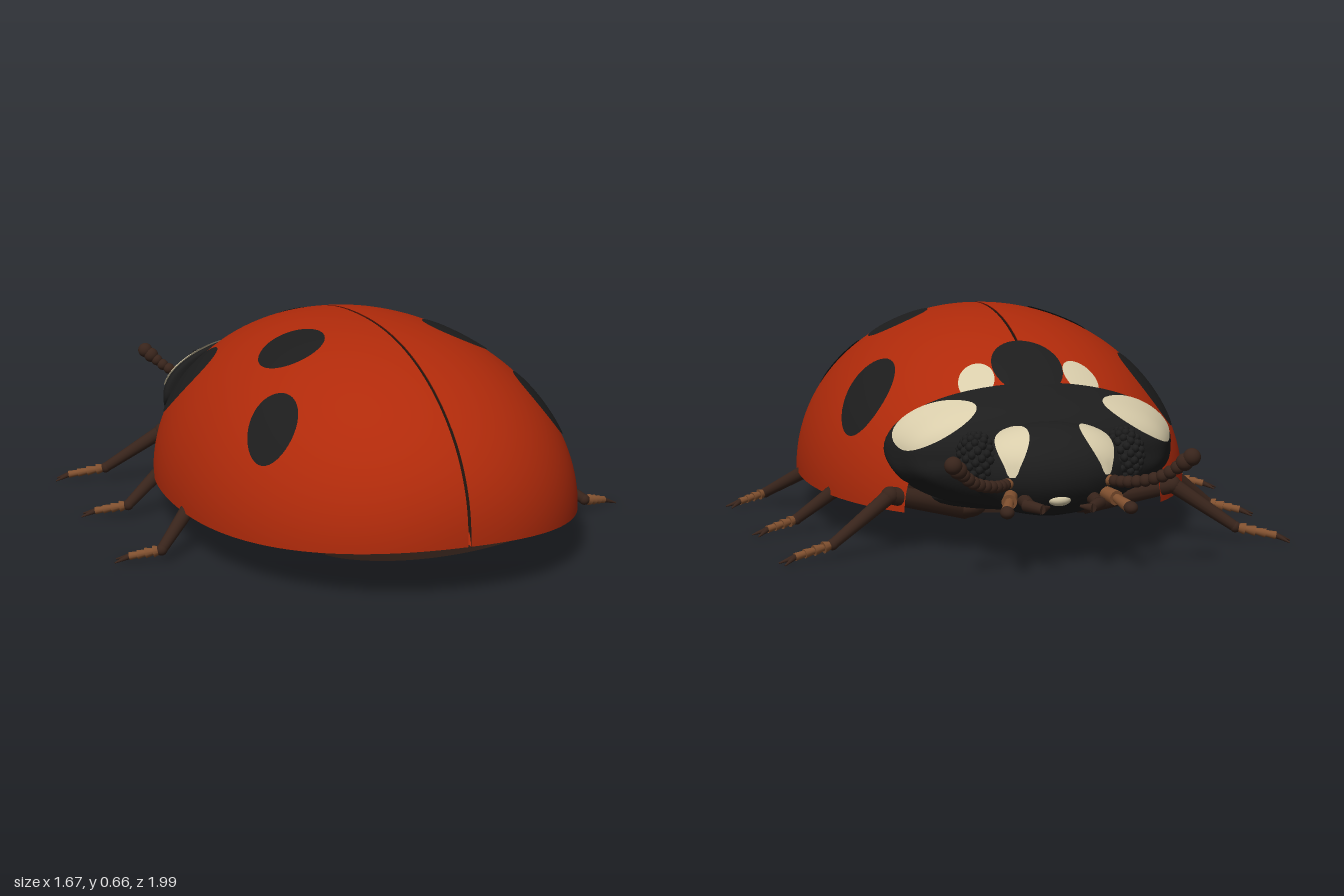
import * as THREE from 'three';
import { mergeGeometries, mergeVertices } from 'three/addons/utils/BufferGeometryUtils.js';

const mat = (name, color) => new THREE.MeshStandardMaterial({ name, color, side: THREE.DoubleSide });
const V = (x, y, z) => new THREE.Vector3(x, y, z);

export function createModel() {
  const root = new THREE.Group();
  root.name = 'beetle';
  const red = mat('shell red', 0xb02a0a);
  const black = mat('black', 0x1d1d1d);
  const cream = mat('cream', 0xd8ccaa);
  const darkBrown = mat('dark brown', 0x38241b);
  const bellyBrown = mat('belly brown', 0x2a1b14);
  const footBrown = mat('foot brown', 0x80502f);

  const add = (name, geometry, material, parent = root) => {
    const m = new THREE.Mesh(geometry, material);
    m.name = name;
    parent.add(m);
    return m;
  };

  // Smooth grid surface from f(u, v), with u and v in 0..1
  const surface = (f, nu, nv) => {
    const pos = [], index = [];
    for (let i = 0; i <= nu; i++) for (let j = 0; j <= nv; j++) pos.push(...f(i / nu, j / nv).toArray());
    for (let i = 0; i < nu; i++) for (let j = 0; j < nv; j++) {
      const a = i * (nv + 1) + j, b = a + nv + 1;
      index.push(a, b, a + 1, b, b + 1, a + 1);
    }
    let g = new THREE.BufferGeometry();
    g.setAttribute('position', new THREE.Float32BufferAttribute(pos, 3));
    g.setIndex(index);
    g = mergeVertices(g, 1e-5);
    g.computeVertexNormals();
    return g;
  };

  // Oval marking laid on f(a, b) and lifted slightly along the normal
  const patch = (f, a, b, ra, rb, lift = 0.005) => {
    const g = surface((u, v) => f(a + ra * u * Math.cos(v * 2 * Math.PI), b + rb * u * Math.sin(v * 2 * Math.PI)), 10, 40);
    const p = g.attributes.position, n = g.attributes.normal;
    for (let i = 0; i < p.count; i++) {
      const d = n.getX(i) * p.getX(i) + n.getY(i) * (p.getY(i) - 0.2) > 0 ? lift : -lift;
      p.setXYZ(i, p.getX(i) + d * n.getX(i), p.getY(i) + d * n.getY(i), p.getZ(i) + d * n.getZ(i));
    }
    return g;
  };

  const ball = (name, p, rx, ry, rz, material, parent = root) => {
    const m = add(name, new THREE.SphereGeometry(1, 20, 14), material, parent);
    m.scale.set(rx, ry, rz);
    m.position.copy(p);
    return m;
  };

  const limb = (name, a, b, r1, r2, material, parent = root) => {
    const d = b.clone().sub(a);
    const m = add(name, new THREE.CylinderGeometry(r2, r1, d.length(), 12), material, parent);
    m.position.copy(a).addScaledVector(d, 0.5);
    m.quaternion.setFromUnitVectors(V(0, 1, 0), d.normalize());
    return m;
  };

  // Shell: half-elliptic sections whose size follows a rounded plan outline
  const size = z => {
    const [t, e] = z > 0.2 ? [(z - 0.2) / 0.795, 2.2] : [(0.2 - z) / 0.88, 2.15];
    return Math.pow(Math.max(0, 1 - Math.pow(t, e)), 1 / e);
  };
  const rimY = z => 0.12 + 0.035 * Math.max(0, z) ** 4;
  const shellTop = (x, z) => {
    const s = size(z), t = Math.min(1, Math.abs(x) / (0.605 * s + 1e-6));
    return V(x, rimY(z) + (0.66 - rimY(z)) * s * Math.sqrt(1 - t * t), z);
  };
  const gap = 0.0045;
  for (const side of [1, -1]) {
    const label = side > 0 ? 'left' : 'right';
    const zAt = u => 0.995 - 1.495 * u * u;
    add(label + 'WingCase', surface((u, v) => {
      const z = zAt(u), s = size(z), a = v * Math.PI / 2;
      return V(side * (gap + Math.max(0, 0.605 * s - gap) * Math.sin(a)),
        rimY(z) + (0.66 - rimY(z)) * s * Math.cos(a), z);
    }, 72, 48), red);
    // Narrow flange turned inward under the rim
    add(label + 'WingRim', surface((u, v) => {
      const z = zAt(u * 0.97), k = 1 - 0.14 * v;
      return V(side * Math.max(gap, 0.605 * size(z) * k), rimY(z) + 0.004 * v, 0.2 + (z - 0.2) * k);
    }, 60, 2), red);
    // Dark inner edge along the seam
    add(label + 'SeamEdge', surface((u, v) => {
      const p = shellTop(0, zAt(u));
      return V(side * gap, p.y - 0.003 - v * Math.min(0.1, (p.y - 0.12) * 0.5), p.z);
    }, 48, 1), bellyBrown);
    for (const [x, z, rx, rz] of [[0.435, -0.15, 0.08, 0.13], [0.265, 0.3, 0.096, 0.117], [0.42, 0.56, 0.068, 0.1]])
      add(label + 'ShellSpot', patch(shellTop, side * x, z, rx, rz), black);
    add(label + 'ShellCreamMark', patch(shellTop, side * 0.158, -0.425, 0.053, 0.066), cream);
  }
  add('scutellum', patch(shellTop, 0, -0.4, 0.105, 0.12, 0.008), black);

  // Pronotum: each spline point holds half width, top height and z
  const collar = new THREE.CatmullRomCurve3([V(0, 0.33, -0.68), V(0.2, 0.385, -0.66), V(0.28, 0.41, -0.635),
    V(0.365, 0.44, -0.585), V(0.41, 0.468, -0.51), V(0.438, 0.488, -0.425), V(0.39, 0.45, -0.42)]);
  const collarAt = (angle, u) => {
    const c = collar.getPoint(u), co = Math.cos(angle), si = Math.sin(angle);
    const half = si > 0 ? c.y - 0.3 : 0.19 * c.x / 0.438;
    const bend = si > 0 ? 0.06 * si * si : 0.075 * Math.sin(Math.min(1, -si * 2.5) * Math.PI / 2) ** 2;
    return V(c.x * co, 0.3 + half * si, c.z - bend * u * u);
  };
  add('pronotum', surface((u, v) => collarAt(v * 2 * Math.PI - Math.PI / 2, u), 36, 72), black);
  for (const a of [0.57, Math.PI - 0.57])
    add('pronotumCreamPatch', patch(collarAt, a, 0.6, 0.5, 0.19), cream);

  // Head
  const hc = V(0, 0.267, -0.675), hr = V(0.235, 0.135, 0.168);
  ball('head', hc, hr.x, hr.y, hr.z, black);
  ball('upperLip', V(0, 0.2, -0.805), 0.035, 0.02, 0.025, cream);
  const headTop = (x, z) => V(x, hc.y + hr.y * Math.sqrt(Math.max(0,
    1 - (x / hr.x) ** 2 - ((z - hc.z) / hr.z) ** 2)), z);

  // Compound eye made of small domes spread evenly over an ellipsoid
  const eyeParts = [new THREE.SphereGeometry(1, 20, 14).scale(0.05, 0.07, 0.078)];
  for (let i = 0; i < 90; i++) {
    const y = 1 - 2 * (i + 0.5) / 90, r = Math.sqrt(1 - y * y), a = i * 2.39996;
    eyeParts.push(new THREE.SphereGeometry(0.012, 7, 5)
      .translate(0.05 * r * Math.cos(a), 0.07 * y, 0.078 * r * Math.sin(a)));
  }
  const eyeGeometry = mergeGeometries(eyeParts);

  for (const side of [1, -1]) {
    const P = (x, y, z) => V(side * x, y, z);
    const face = new THREE.Group();
    face.name = side > 0 ? 'leftFaceParts' : 'rightFaceParts';
    root.add(face);
    add('eye', eyeGeometry, black, face).position.copy(P(0.217, 0.305, -0.7));
    add('headCreamPatch', patch(headTop, side * 0.122, -0.745, 0.047, 0.073), cream, face);

    // Beaded antenna with a club
    const path = new THREE.CatmullRomCurve3([P(0.13, 0.25, -0.78), P(0.19, 0.25, -0.85),
      P(0.27, 0.275, -0.915), P(0.338, 0.335, -0.97)]);
    add('antennaStem', new THREE.TubeGeometry(path, 20, 0.013, 8), darkBrown, face);
    for (let i = 0; i <= 12; i++) {
      const r = i > 10 ? 0.025 : 0.0165 + 0.0003 * i;
      ball('antennaBead', path.getPoint(i / 12), r, r, r, i < 2 ? footBrown : darkBrown, face);
    }
    // Palp and hooked jaw
    limb('palpBase', P(0.13, 0.215, -0.77), P(0.155, 0.205, -0.85), 0.018, 0.022, footBrown, face);
    limb('palp', P(0.155, 0.205, -0.85), P(0.175, 0.19, -0.91), 0.013, 0.018, footBrown, face);
    ball('palpTip', P(0.177, 0.19, -0.922), 0.02, 0.018, 0.025, darkBrown, face);
    limb('jaw', P(0.1, 0.2, -0.78), P(0.1, 0.195, -0.86), 0.02, 0.018, darkBrown, face);
    limb('jawBend', P(0.108, 0.195, -0.85), P(0.07, 0.19, -0.9), 0.018, 0.014, darkBrown, face);
    limb('jawTip', P(0.075, 0.19, -0.9), P(0.045, 0.19, -0.87), 0.014, 0.004, darkBrown, face);

    // Legs: hip, knee, ankle and toe
    for (const [name, hip, knee, ankle, toe] of [
      ['frontLeg', P(0.18, 0.11, -0.38), P(0.43, 0.17, -0.485), P(0.61, 0.045, -0.55), P(0.725, 0.022, -0.592)],
      ['middleLeg', P(0.18, 0.08, -0.1), P(0.52, 0.15, -0.155), P(0.66, 0.04, -0.12), P(0.755, 0.02, -0.162)],
      ['hindLeg', P(0.18, 0.07, 0.16), P(0.56, 0.14, 0.235), P(0.7, 0.04, 0.36), P(0.788, 0.02, 0.323)]]) {
      const leg = new THREE.Group();
      leg.name = name;
      root.add(leg);
      const at = t => ankle.clone().lerp(toe, t);
      ball('hip', hip, 0.06, 0.035, 0.05, darkBrown, leg);
      limb('thigh', hip, knee, 0.04, 0.026, darkBrown, leg);
      ball('knee', knee, 0.027, 0.027, 0.027, darkBrown, leg);
      limb('shin', knee, ankle, 0.024, 0.016, darkBrown, leg);
      ball('ankle', ankle, 0.017, 0.017, 0.017, darkBrown, leg);
      for (let i = 0; i < 4; i++)
        limb('footSegment', at(i / 4), at((i + 1) / 4), 0.01, 0.018 - 0.002 * i, footBrown, leg);
      for (const k of [1, -1]) {
        const d = toe.clone().sub(ankle).normalize();
        const tip = toe.clone().addScaledVector(d, 0.042).add(V(-d.z * k * 0.02, 0, d.x * k * 0.02));
        tip.y = 0.005;
        limb('claw', toe, tip, 0.009, 0.002, darkBrown, leg);
      }
    }
  }

  // Underside: dark ceiling, cream membrane and separate curved belly plates
  add('abdomenTop', surface((u, v) => {
    const z = 0.85 - 1.3 * u * u;
    return V((2 * v - 1) * 0.53 * size(z), 0.138, z);
  }, 30, 4), bellyBrown);
  const sag = z => 0.082 - 0.09 * (z - 0.3) ** 2;
  const bellyY = (v, depth) => 0.122 - depth * Math.pow(Math.max(0, 1 - (2 * v - 1) ** 2), 0.7);
  add('bellyMembrane', surface((u, v) => {
    const z = 0.74 - 1.04 * u;
    return V((2 * v - 1) * 0.43 * size(z), bellyY(v, sag(z) * 0.72), z);
  }, 20, 24), cream);
  for (let i = 0; i < 7; i++) {
    const z1 = 0.765 - i * 0.1575, z0 = z1 - 0.14, mid = (z0 + z1) / 2;
    add('bellyPlate', surface((u, v) => {
      const z = z1 + (z0 - z1) * u;
      return V((2 * v - 1) * 0.5 * size(z), bellyY(v, sag(mid) - 0.005 * u), z);
    }, 3, 36), bellyBrown);
  }
  ball('chest', V(0, 0.16, -0.42), 0.32, 0.055, 0.13, black);

  // Cream beaded cord beneath the seam
  limb('cord', V(0, 0.135, -0.3), V(0, 0.135, 0.5), 0.012, 0.012, cream);
  for (let i = 0; i < 6; i++) ball('cordBead', V(0, 0.135, -0.19 + i * 0.16), 0.03, 0.03, 0.03, cream);
  return root;
}
